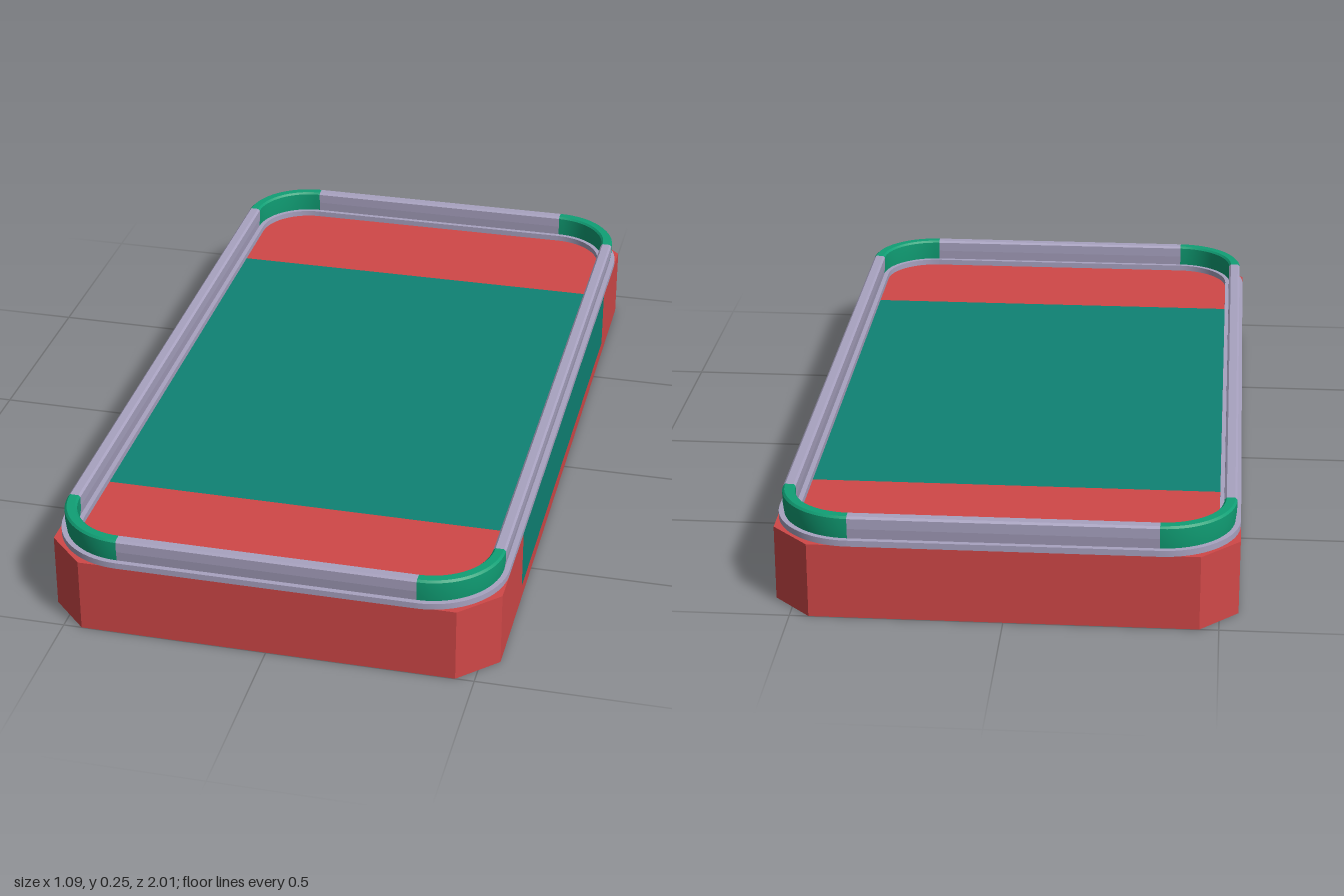
import * as THREE from 'three';
import { toCreasedNormals } from 'three/addons/utils/BufferGeometryUtils.js';

const HX = 0.545, HZ = 1, CUT = 0.09;   // half width, half length, corner chamfer
const CORE_Z = 0.635, SLAB = 0.035, TOP = 0.185;
const CX = 0.36, CZ = 0.82;             // centres of the rounded rim corners

const paint = (color) => new THREE.MeshStandardMaterial({ color });
const red = paint(0xd04848), teal = paint(0x0f8274), green = paint(0x109f75), lavender = paint(0xa8a2c0);

// Cross-sections as [distance from corner centre, y], counter-clockwise
const flangeProfile = [[0.135, TOP], [0.185, TOP], [0.185, 0.2], [0.135, 0.2]];
const rimProfile = [
  [0.147, 0.2], [0.172, 0.2], [0.175, 0.225], [0.175, 0.25], [0.17, 0.255],
  [0.15, 0.255], [0.145, 0.25], [0.145, 0.225],
];
const toPoints = (list) => list.map(([x, y]) => new THREE.Vector2(x, y));

// Flat outline in (x, z) raised from y0 to y1
function prism(outline, y0, y1) {
  const shape = new THREE.Shape(toPoints(outline.map(([x, z]) => [x, -z])));
  const geo = new THREE.ExtrudeGeometry(shape, { depth: y1 - y0, bevelEnabled: false });
  return geo.rotateX(-Math.PI / 2).translate(0, y0, 0);
}

export function createModel() {
  const model = new THREE.Group();
  model.name = 'tray';
  const add = (name, geo, material, parent = model) => {
    const mesh = new THREE.Mesh(geo, material);
    mesh.name = name;
    parent.add(mesh);
    return mesh;
  };

  // Base: chamfered bottom slab and two end blocks around the core
  const octagon = [
    [HX, -HZ + CUT], [HX, HZ - CUT], [HX - CUT, HZ], [-HX + CUT, HZ],
    [-HX, HZ - CUT], [-HX, -HZ + CUT], [-HX + CUT, -HZ], [HX - CUT, -HZ],
  ];
  add('baseSlab', prism(octagon, 0, SLAB), red);
  const endOutline = [[HX, CORE_Z], ...octagon.slice(1, 5), [-HX, CORE_Z]];
  add('frontBlock', prism(endOutline, SLAB, TOP), red);
  add('backBlock', prism(endOutline, SLAB, TOP), red).rotation.y = Math.PI;

  // Core, flush with the sides and the top of the base
  const coreGeo = new THREE.BoxGeometry(2 * HX, TOP - SLAB, 2 * CORE_Z);
  add('core', coreGeo.translate(0, (TOP + SLAB) / 2, 0), teal);

  // Rounded frame: four straight bars and four quarter-turn corners
  function frame(name, profile, cornerMaterial) {
    const group = new THREE.Group();
    group.name = name;
    model.add(group);
    const points = toPoints(profile);
    const cornerGeo = toCreasedNormals(
      new THREE.LatheGeometry([...points, points[0]], 16, 0, Math.PI / 2), 0.35);
    for (let k = 0; k < 4; k++) {
      const [offset, half] = k % 2 ? [CZ, CX] : [CX, CZ];
      const barGeo = new THREE.ExtrudeGeometry(new THREE.Shape(points),
        { depth: 2 * half, bevelEnabled: false }).translate(offset, 0, -half);
      add(name + 'Bar', barGeo, lavender, group).rotation.y = k * Math.PI / 2;

      const corner = add(name + 'Corner', cornerGeo, cornerMaterial, group);
      corner.rotation.y = k * Math.PI / 2;
      corner.position.set(k < 2 ? CX : -CX, 0, k === 0 || k === 3 ? CZ : -CZ);
    }
  }
  frame('flange', flangeProfile, lavender);
  frame('rim', rimProfile, green);

  return model;
}
